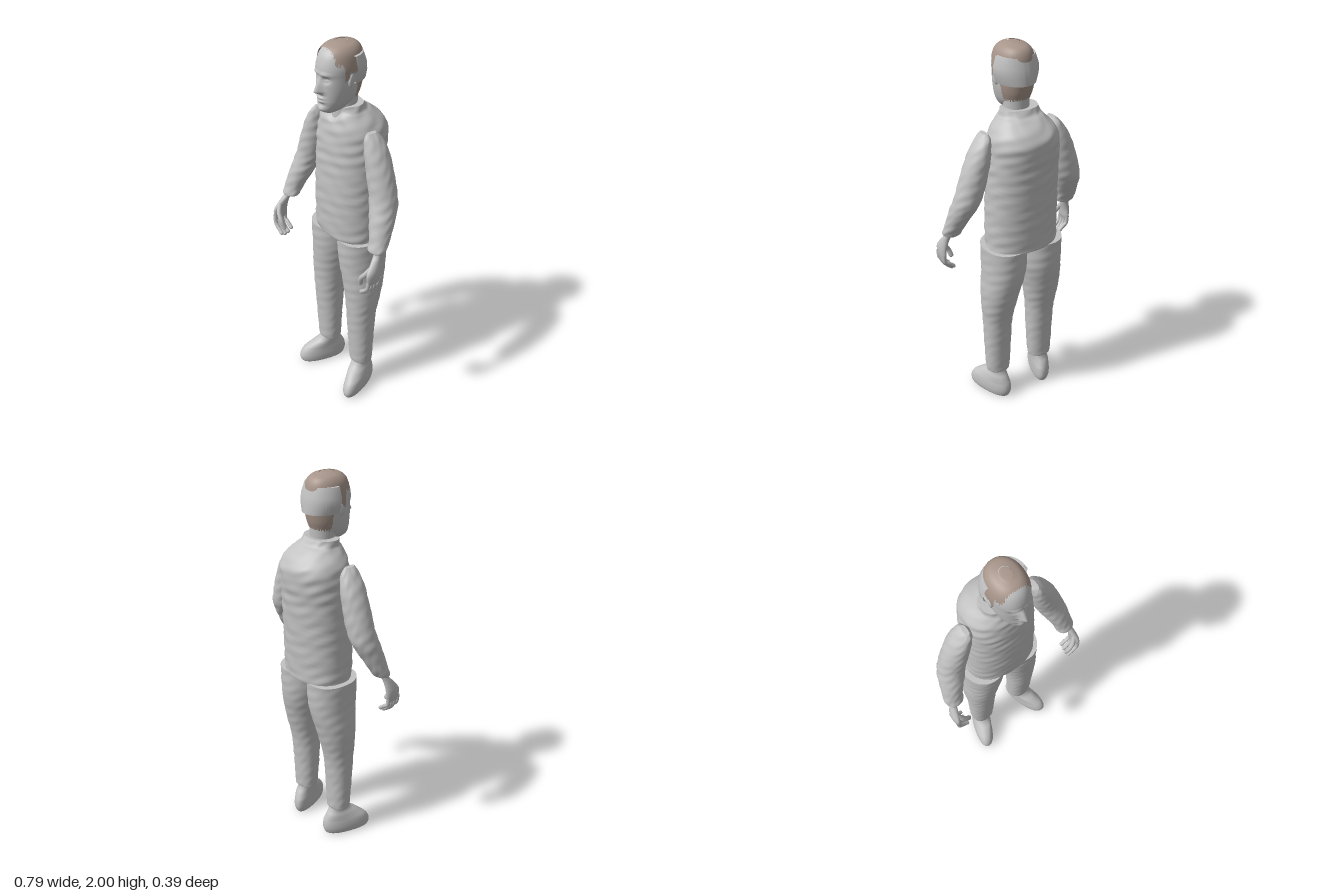
import * as THREE from 'three';
import { toCreasedNormals } from 'three/addons/utils/BufferGeometryUtils.js';

const grey = new THREE.MeshStandardMaterial({ color: 0xc2c2c2, side: THREE.DoubleSide });
grey.name = 'light grey';
const brown = new THREE.MeshStandardMaterial({ color: 0xa8968b, side: THREE.DoubleSide });
brown.name = 'hair brown';

const bump = (d, w) => Math.exp(-(d * d) / (w * w));
const clamp01 = (t) => Math.min(1, Math.max(0, t));

function spline(rows, t) {
  const n = rows.length - 1, f = t * n, i = Math.min(n - 1, Math.floor(f)), u = f - i;
  const [a, b, c, d] = [-1, 0, 1, 2].map((k) => rows[Math.min(n, Math.max(0, i + k))]);
  return b.map((_, k) => b[k] + 0.5 * u * (c[k] - a[k] + u * (2 * a[k] - 5 * b[k] + 4 * c[k] - d[k]
    + u * (3 * (b[k] - c[k]) + d[k] - a[k]))));
}

// Skins rows of [y, xMin, xMax, zMin, zMax] listed from bottom to top.
// opts: side mirrors x, power squares the section, deform moves points, keep selects faces.
function loft(rows, { side = 1, power = 2, seg = 40, steps = 40, deform, keep, caps = true } = {}) {
  const pos = [], idx = [];
  for (let r = 0; r <= steps; r++) {
    const [y, x0, x1, z0, z1] = spline(rows, r / steps);
    for (let s = 0; s < seg; s++) {
      const a = (s / seg) * Math.PI * 2, c = Math.cos(a), n = Math.sin(a);
      const p = new THREE.Vector3(
        side * (x0 + x1) / 2 + Math.sign(c) * Math.abs(c) ** (2 / power) * (x1 - x0) / 2, y,
        (z0 + z1) / 2 + Math.sign(n) * Math.abs(n) ** (2 / power) * (z1 - z0) / 2);
      if (deform) deform(p, a);
      pos.push(p.x, p.y, p.z);
    }
  }
  for (let r = 0; r < steps; r++) for (let s = 0; s < seg; s++) {
    const a = r * seg + s, b = r * seg + (s + 1) % seg;
    if (keep && !keep(pos[a * 3], pos[a * 3 + 1], pos[a * 3 + 2], s)) continue;
    idx.push(a, a + seg, b, b, a + seg, b + seg);
  }
  // End caps with their own vertices so the rims stay crisp
  if (caps) for (const r of [0, steps]) {
    const first = pos.length / 3, mid = [0, 0, 0];
    for (let s = 0; s < seg; s++) for (let k = 0; k < 3; k++) {
      const v = pos[(r * seg + s) * 3 + k];
      pos.push(v);
      mid[k] += v / seg;
    }
    pos.push(...mid);
    for (let s = 0; s < seg; s++) {
      const a = first + s, b = first + (s + 1) % seg;
      if (r) idx.push(first + seg, b, a); else idx.push(first + seg, a, b);
    }
  }
  const g = new THREE.BufferGeometry();
  g.setAttribute('position', new THREE.Float32BufferAttribute(pos, 3));
  g.setIndex(idx);
  g.computeVertexNormals();
  return g;
}

function add(parent, name, geometry, material = grey) {
  const m = new THREE.Mesh(geometry, material);
  m.name = name;
  parent.add(m);
  return m;
}

// Rounded finger running through a few points
function finger(parent, name, points, r) {
  const v = points.map((p) => new THREE.Vector3(...p));
  add(parent, name, new THREE.TubeGeometry(new THREE.CatmullRomCurve3(v), 10, r, 10));
  add(parent, name + 'Tip', new THREE.SphereGeometry(r, 10, 8)).position.copy(v[v.length - 1]);
}

// Soft cloth creases pushed along the section's radius
const cloth = (amount) => (p, a) => {
  const w = amount * (Math.sin(p.y * 70 + 2 * Math.sin(a * 3)) * Math.sin(a * 5 + p.y * 17)
    + 0.5 * Math.sin(p.y * 113 + a * 4));
  p.x += Math.cos(a) * w;
  p.z += Math.sin(a) * w;
};

const HEAD = [
  [1.668, -0.012, 0.032, 0.07, 0.13], [1.685, -0.035, 0.055, 0.02, 0.155], [1.72, -0.057, 0.077, -0.03, 0.163],
  [1.76, -0.07, 0.09, -0.05, 0.162], [1.80, -0.077, 0.097, -0.06, 0.162], [1.85, -0.08, 0.1, -0.067, 0.163],
  [1.90, -0.081, 0.101, -0.068, 0.162], [1.95, -0.07, 0.09, -0.058, 0.145], [1.98, -0.048, 0.068, -0.035, 0.115],
  [1.993, -0.015, 0.035, 0.01, 0.075]];

// Nose, brow, eye sockets, lips and chin
function face(p) {
  if (p.z < 0.06) return;
  const x = Math.abs(p.x - 0.01), y = p.y, nose = clamp01((1.86 - y) / 0.07);
  p.z += 0.036 * nose * bump(x, 0.011 + 0.008 * nose) * clamp01((y - 1.768) / 0.02)
    - 0.014 * bump(x - 0.033, 0.018) * bump(y - 1.845, 0.014)
    + 0.007 * bump(x - 0.033, 0.012) * bump(y - 1.843, 0.006)
    + 0.006 * bump(x - 0.03, 0.03) * bump(y - 1.872, 0.01)
    + 0.009 * bump(x, 0.024) * (bump(y - 1.753, 0.006) + bump(y - 1.737, 0.007))
    - 0.006 * bump(x, 0.025) * bump(y - 1.72, 0.009)
    + 0.008 * bump(x, 0.025) * bump(y - 1.695, 0.013);
}

function buildHead(root) {
  const head = new THREE.Group();
  head.name = 'head';
  root.add(head);
  add(head, 'face', loft(HEAD, { seg: 120, steps: 110, power: 2.15, deform: face }));
  add(head, 'neck', loft([[1.58, -0.06, 0.08, -0.05, 0.085], [1.66, -0.052, 0.072, -0.045, 0.083],
    [1.78, -0.055, 0.075, -0.05, 0.08]]));
  for (const s of [-1, 1]) {
    const ear = add(head, s > 0 ? 'leftEar' : 'rightEar', new THREE.SphereGeometry(1, 16, 12));
    ear.scale.set(0.009, 0.033, 0.019);
    ear.position.set(0.01 + s * 0.089, 1.835, 0.05);
    ear.rotation.set(-0.15, s * 0.3, 0);
  }
  // Hair shell with a receding front, sideburns and a nape
  const hairRows = HEAD.map(([y, a, b, c, d]) =>
    [y + (y > 1.94 ? 0.006 : 0), a - 0.004, b + 0.004, c - 0.006, d + 0.002]);
  add(head, 'hair', loft(hairRows, {
    seg: 120, steps: 110, power: 2.15,
    keep: (x, y, z, s) => {
      const jag = 0.008 * Math.sin(s * 2.4);
      if (z > 0.122 + jag * 0.4) return false;
      const line = z > 0.085 ? 1.915 : z > 0.055 ? 1.84 : z > 0.01 ? 1.87 : 1.735;
      return y > line + jag;
    }, caps: false
  }));
  head.getObjectByName('hair').material = brown;
  add(head, 'crown', new THREE.SphereGeometry(1, 24, 10, 0, Math.PI * 2, 0, Math.PI / 2), brown);
  const crown = head.getObjectByName('crown');
  crown.scale.set(0.03, 0.003, 0.036);
  crown.position.set(0.01, 1.997, 0.042);
  // Band wrapped round the back of the head
  const profile = [[0.096, 1.82], [0.122, 1.82], [0.121, 1.86], [0.115, 1.9], [0.099, 1.95], [0.08, 1.95], [0.096, 1.82]];
  const band = new THREE.LatheGeometry(profile.map((p) => new THREE.Vector2(...p)), 48, Math.PI / 2, Math.PI);
  const q = band.attributes.position;
  for (let i = 0; i < q.count; i++) q.setX(i, q.getX(i) * (1 - 0.2 * clamp01((1.88 - q.getY(i)) / 0.06)));
  add(head, 'headBand', toCreasedNormals(band, 0.7)).position.set(0.011, 0, 0.035);
}

function buildTorso(root) {
  const crease = cloth(0.0022);
  add(root, 'jacket', loft([
    [0.965, -0.182, 0.196, -0.155, 0.115], [1.0, -0.183, 0.197, -0.158, 0.125], [1.2, -0.18, 0.193, -0.168, 0.13],
    [1.4, -0.176, 0.188, -0.18, 0.125], [1.5, -0.173, 0.184, -0.19, 0.12], [1.56, -0.166, 0.18, -0.19, 0.113],
    [1.605, -0.148, 0.162, -0.165, 0.105], [1.65, -0.108, 0.122, -0.115, 0.09], [1.668, -0.095, 0.107, -0.085, 0.08],
    [1.695, -0.093, 0.1, -0.065, 0.072]], {
    seg: 96, steps: 100, power: 2.25,
    deform: (p, a) => {
      crease(p, a);
      // V-shaped collar opening
      if (p.z > 0) p.y -= 0.05 * bump(p.x - 0.01, 0.04) * clamp01((p.y - 1.6) / 0.095);
    }
  }));
}

function buildArm(root, side) {
  const arm = new THREE.Group();
  arm.name = side > 0 ? 'leftArm' : 'rightArm';
  arm.position.x = 0.003;
  root.add(arm);
  add(arm, 'sleeve', loft([
    [1.045, 0.302, 0.38, 0.06, 0.128], [1.055, 0.292, 0.39, 0.05, 0.135], [1.1, 0.283, 0.387, 0.023, 0.122],
    [1.2, 0.245, 0.373, -0.033, 0.1], [1.25, 0.227, 0.363, -0.055, 0.085], [1.3, 0.21, 0.35, -0.062, 0.075],
    [1.4, 0.185, 0.32, -0.065, 0.07], [1.5, 0.17, 0.278, -0.062, 0.065], [1.565, 0.167, 0.235, -0.045, 0.055],
    [1.595, 0.18, 0.205, -0.02, 0.04]], { side, steps: 60, deform: cloth(0.0015) }));
  add(arm, 'hand', loft([
    [0.895, 0.37, 0.388, 0.108, 0.178], [0.92, 0.362, 0.393, 0.102, 0.185], [0.96, 0.358, 0.394, 0.1, 0.183],
    [1.01, 0.347, 0.383, 0.093, 0.145], [1.04, 0.338, 0.374, 0.083, 0.122], [1.09, 0.32, 0.365, 0.07, 0.115]],
  { side, seg: 24, steps: 24 }));
  for (let i = 0; i < 4; i++) {
    const z = 0.114 + 0.021 * i, drop = [0.02, 0.004, 0, 0.01][i];
    finger(arm, 'finger', [[side * 0.38, 0.92, z], [side * 0.374, 0.875, z + 0.002],
      [side * 0.355, 0.842 + drop, z + 0.001], [side * 0.328, 0.82 + drop, z]], 0.0105);
  }
  finger(arm, 'thumb', [[side * 0.37, 0.985, 0.15], [side * 0.35, 0.945, 0.172],
    [side * 0.325, 0.91, 0.178], [side * 0.312, 0.872, 0.17]], 0.0125);
}

function buildLeg(root, side) {
  const leg = new THREE.Group();
  leg.name = side > 0 ? 'leftLeg' : 'rightLeg';
  leg.position.x = 0.004;
  root.add(leg);
  add(leg, 'trouserLeg', loft([
    [0.17, 0.075, 0.19, -0.04, 0.058], [0.185, 0.069, 0.199, -0.047, 0.065], [0.35, 0.06, 0.206, -0.055, 0.075],
    [0.5, 0.055, 0.21, -0.07, 0.085], [0.6, 0.042, 0.219, -0.093, 0.09], [0.7, 0.025, 0.222, -0.118, 0.098],
    [0.8, 0.004, 0.216, -0.14, 0.106], [0.88, -0.005, 0.215, -0.147, 0.112], [0.97, -0.005, 0.215, -0.15, 0.115]],
  { side, steps: 70, power: 2.2, deform: cloth(0.001) }));
  // Shoe turned outwards at the toe
  add(leg, 'shoe', loft([
    [0, 0.115, 0.187, -0.06, 0.155], [0.008, 0.105, 0.2, -0.068, 0.168], [0.04, 0.1, 0.207, -0.079, 0.174],
    [0.08, 0.1, 0.205, -0.077, 0.157], [0.12, 0.1, 0.195, -0.062, 0.115], [0.15, 0.098, 0.183, -0.045, 0.075],
    [0.19, 0.095, 0.178, -0.035, 0.05]], {
    side, power: 2.3,
    deform: (p) => { p.x += side * (p.z - 0.03) * 0.3 * clamp01((0.19 - p.y) / 0.1); }
  }));
}

export function createModel() {
  const root = new THREE.Group();
  root.name = 'standingFigure';
  buildHead(root);
  buildTorso(root);
  for (const side of [-1, 1]) {
    buildArm(root, side);
    buildLeg(root, side);
  }
  return root;
}
